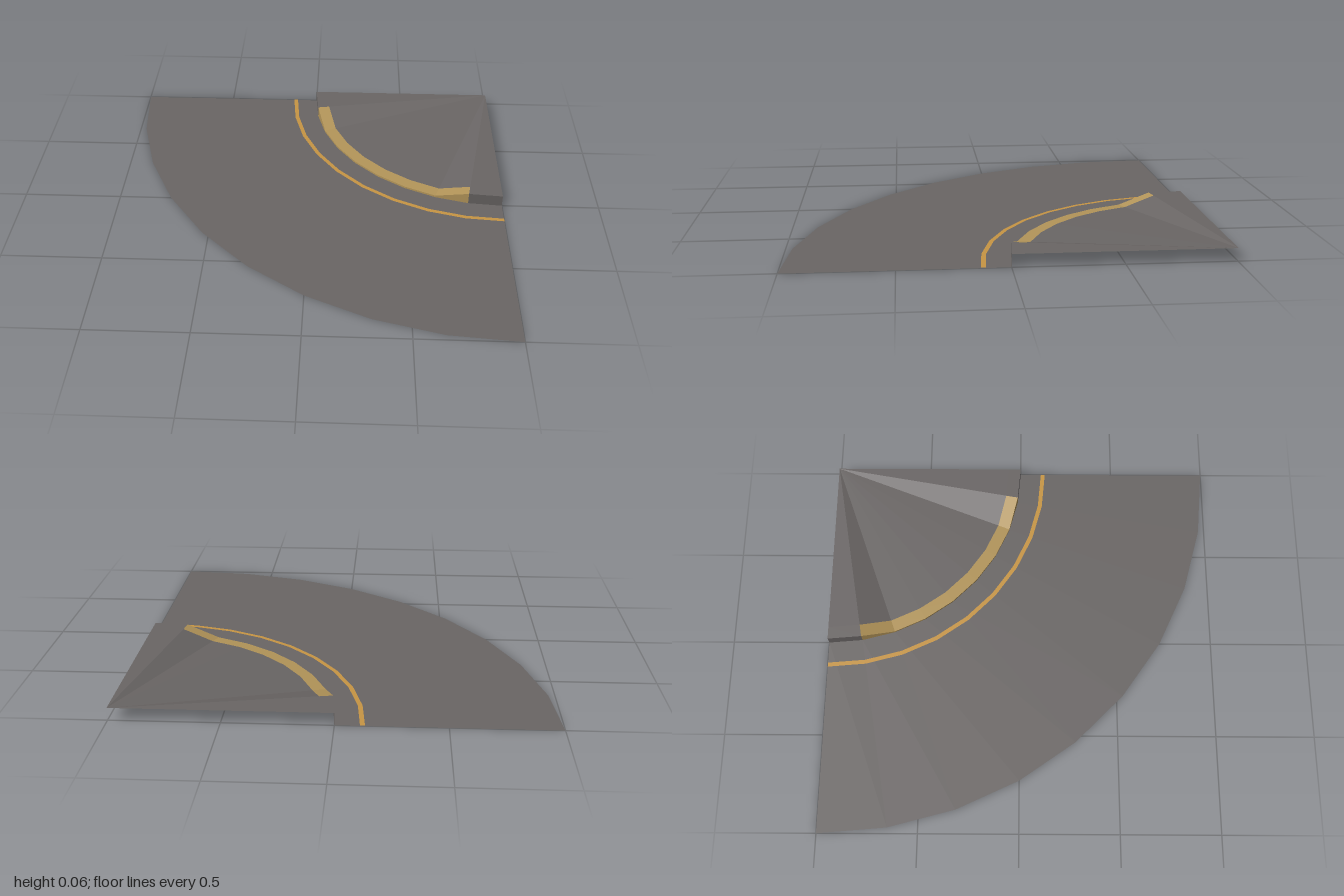
import * as THREE from 'three';

const STEPS = 9;      // ten-degree facets around the corner
const CURB = 0.06;    // pavement height
const LOW = 0.01;     // lip height at the dropped kerb
const PAD = 0.936;    // inner radius of the coloured ramp edge

// Point on an arc about the corner of the tile
function polar(r, i, y) {
  const a = (i / STEPS) * Math.PI / 2;
  return [1 - r * Math.cos(a), y, -1 + r * Math.sin(a)];
}

// Pavement edge dips between the second and the last but one corner
const edgeY = (i) => (i >= 2 && i <= 7 ? LOW : CURB);
// Pavement falls in a straight line from the corner to its edge
const paveY = (r, i) => CURB + (edgeY(i) - CURB) * r;

// Band of facets between two rings; each ring is a function of the step
function band(inner, outer, from, to) {
  const pos = [];
  for (let i = from; i < to; i++) {
    const a = inner(i), b = outer(i), c = outer(i + 1), d = inner(i + 1);
    pos.push(...a, ...b, ...c, ...a, ...c, ...d);
  }
  const g = new THREE.BufferGeometry();
  g.setAttribute('position', new THREE.Float32BufferAttribute(pos, 3));
  g.computeVertexNormals();
  return g;
}

function fan(outer, from, to) {
  const pos = [];
  for (let i = from; i < to; i++) pos.push(1, CURB, -1, ...outer(i), ...outer(i + 1));
  const g = new THREE.BufferGeometry();
  g.setAttribute('position', new THREE.Float32BufferAttribute(pos, 3));
  g.computeVertexNormals();
  return g;
}

export function createModel() {
  const material = (name, color) => {
    const m = new THREE.MeshStandardMaterial({ color, side: THREE.DoubleSide, flatShading: true });
    m.name = name;
    return m;
  };
  const asphalt = material('asphaltGrey', 0x6a6665);
  const tactile = material('rampYellow', 0xb39559);
  const paint = material('lineOrange', 0xc89644);

  const group = new THREE.Group();
  group.name = 'roadCorner';
  const add = (name, geometry, mat) => {
    const mesh = new THREE.Mesh(geometry, mat);
    mesh.name = name;
    group.add(mesh);
  };

  const flat = (r, y) => (i) => polar(r, i, y);
  const pave = (r) => (i) => polar(r, i, paveY(r, i));

  // Road surface and painted line
  add('road', band(flat(1, 0), flat(2, 0), 0, STEPS), asphalt);
  add('edgeLine', band(flat(1.112, 0.002), flat(1.134, 0.002), 0, STEPS), paint);

  // Pavement sloping down to the dropped kerb
  add('pavement', fan(pave(PAD), 0, STEPS), asphalt);

  // Raised kerb at both ends, coloured ramp edge between them
  const sections = [
    ['kerbStart', 0, 1, asphalt],
    ['ramp', 1, 8, tactile],
    ['kerbEnd', 8, 9, asphalt],
  ];
  for (const [name, from, to, mat] of sections) {
    add(name + 'Top', band(pave(PAD), pave(1), from, to), mat);
    add(name + 'Face', band(pave(1), flat(1, 0), from, to), mat);
  }
  return group;
}
